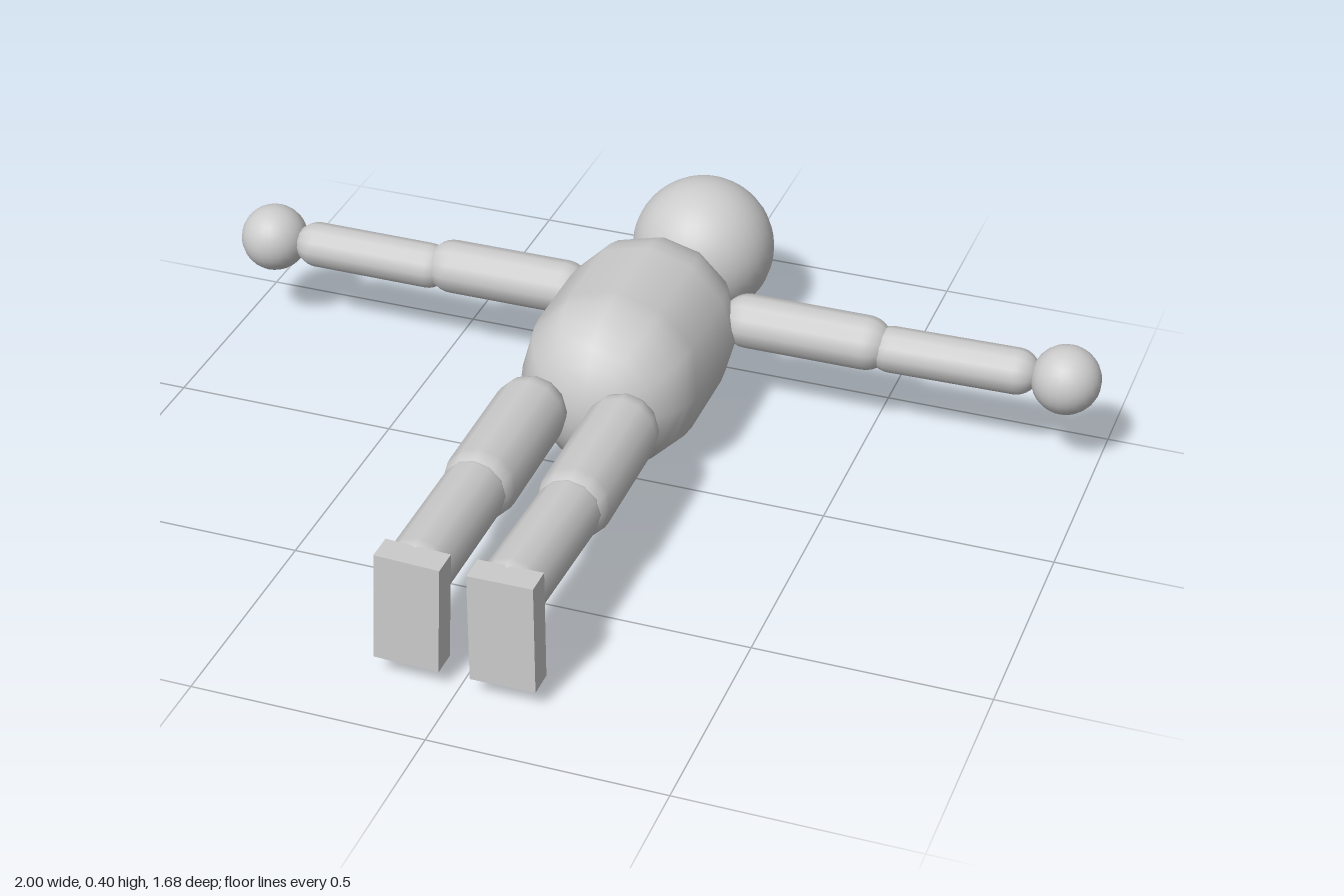
import * as THREE from 'three';

const material = new THREE.MeshStandardMaterial({ color: 0xcccccc });

function add(parent, name, geometry, x = 0, y = 0, z = 0) {
  const mesh = new THREE.Mesh(geometry, material);
  mesh.name = name;
  mesh.position.set(x, y, z);
  parent.add(mesh);
  return mesh;
}

// Capsule between two cap centres
function addCapsule(parent, name, from, to, radius) {
  const a = new THREE.Vector3(...from);
  const b = new THREE.Vector3(...to);
  const axis = b.clone().sub(a);
  const mid = a.clone().add(b).multiplyScalar(0.5);
  const mesh = add(parent, name, new THREE.CapsuleGeometry(radius, axis.length(), 8, 12), mid.x, mid.y, mid.z);
  mesh.quaternion.setFromUnitVectors(new THREE.Vector3(0, 1, 0), axis.normalize());
  return mesh;
}

export function createModel() {
  const model = new THREE.Group();
  model.name = 'lyingFigure';

  // Body, lying on its back with the head towards -z
  addCapsule(model, 'torso', [0, 0.205, -0.085], [0, 0.205, -0.285], 0.202);
  add(model, 'head', new THREE.SphereGeometry(0.162, 32, 24), 0, 0.2, -0.68);

  for (const s of [-1, 1]) {
    const side = s > 0 ? 'left' : 'right';
    const handZ = s > 0 ? -0.364 : -0.35;

    // Arms stretched sideways
    const arm = new THREE.Group();
    arm.name = side + 'Arm';
    addCapsule(arm, side + 'UpperArm', [s * 0.215, 0.23, -0.35], [s * 0.482, 0.23, -0.35], 0.06);
    addCapsule(arm, side + 'Forearm', [s * 0.54, 0.224, s > 0 ? -0.351 : -0.345], [s * 0.815, 0.222, s > 0 ? -0.36 : -0.35], 0.051);
    add(arm, side + 'Hand', new THREE.SphereGeometry(0.076, 24, 16), s * 0.923, 0.221, handZ);
    model.add(arm);

    // Legs pointing to +z, with upright feet hanging below the ankles
    const leg = new THREE.Group();
    leg.name = side + 'Leg';
    const hipX = s > 0 ? 0.098 : -0.107;
    const ankleX = s > 0 ? 0.092 : -0.105;
    addCapsule(leg, side + 'Thigh', [hipX, 0.222, 0.155], [hipX, 0.218, 0.425], 0.08);
    addCapsule(leg, side + 'Shin', [hipX, 0.222, 0.47], [ankleX, 0.226, 0.76], 0.069);
    const foot = add(leg, side + 'Foot', new THREE.BoxGeometry(0.138, 0.246, 0.06), s > 0 ? 0.097 : -0.102, 0.167, 0.809);
    foot.rotation.z = s > 0 ? 0.01 : -0.035;
    model.add(leg);
  }
  return model;
}
